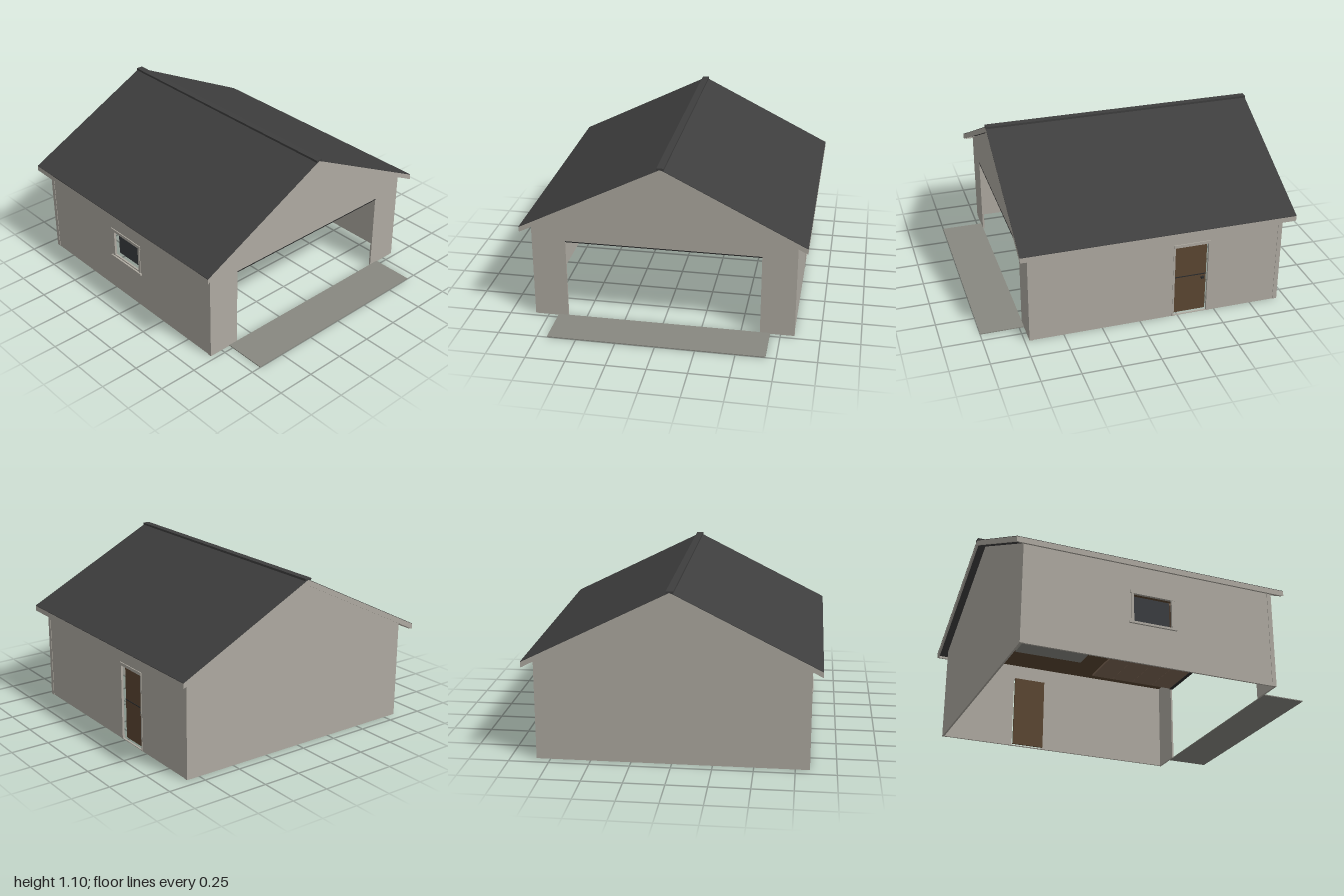
import * as THREE from 'three';

const mat = (name, color) => Object.assign(new THREE.MeshStandardMaterial({ color }), { name });

export function createModel() {
  const garage = new THREE.Group();
  garage.name = 'garage';
  const siding = mat('siding', 0xaeaaa1);
  const roofing = mat('roofing', 0x3e3e3e);
  const concrete = mat('concrete', 0x888880);
  const wood = mat('wood', 0x5b4632);
  const panel = mat('doorPanel', 0x7c6654);
  const glass = mat('glass', 0x3a3d40);
  const metal = mat('metal', 0x2b2b2b);

  const W = 0.835, FRONT = 0.72, BACK = -0.94, EAVE = 0.64, T = 0.012;

  const add = (name, geometry, material) => {
    const mesh = new THREE.Mesh(geometry, material);
    mesh.name = name;
    garage.add(mesh);
    return mesh;
  };
  // Box given by its minimum and maximum corners
  const box = (name, material, x0, x1, y0, y1, z0, z1) => {
    const mesh = add(name, new THREE.BoxGeometry(x1 - x0, y1 - y0, z1 - z0), material);
    mesh.position.set((x0 + x1) / 2, (y0 + y1) / 2, (z0 + z1) / 2);
    return mesh;
  };
  const polygon = (points) => new THREE.Shape(points.map(([x, y]) => new THREE.Vector2(x, y)));
  const extrude = (shape, depth) => new THREE.ExtrudeGeometry(shape, { depth, bevelEnabled: false });

  // Gable walls; the front one has the vehicle opening
  const gable = [[W, 0], [W, EAVE], [0, 1.057], [-W, EAVE], [-W, 0]];
  const opening = [[-0.62, 0], [-0.62, 0.535], [0.62, 0.535], [0.62, 0]];
  add('frontWall', extrude(polygon([...gable, ...opening]), T), siding).position.z = FRONT - T;
  add('backWall', extrude(polygon(gable), T), siding).position.z = BACK;

  // Side walls, each with one rectangular hole (z0, z1, y0, y1)
  const sideWall = (name, x, z0, z1, y0, y1) => {
    const shape = polygon([[BACK + T, 0], [FRONT - T, 0], [FRONT - T, EAVE], [BACK + T, EAVE]]);
    shape.holes.push(polygon([[z0, y0], [z0, y1], [z1, y1], [z1, y0]]));
    const wall = add(name, extrude(shape, T).rotateY(-Math.PI / 2), siding);
    wall.position.x = x;
  };
  sideWall('leftWall', W, -0.445, -0.225, 0.004, 0.5);
  sideWall('rightWall', -W + T, -0.235, 0.015, 0.27, 0.45);

  // Corner boards
  for (const sx of [-1, 1]) {
    for (const z of [FRONT - 0.028, BACK]) {
      const x = sx * W;
      box('cornerBoard', siding, x - 0.003, x + 0.003, 0, EAVE - 0.005, z, z + 0.028);
    }
  }

  // Roof layers: a bent strip following the slope, extruded along z
  const chevron = (name, material, half, drop, thick, z0, z1) => {
    const top = (x) => 1.092 - 0.5 * x - drop;
    const shape = polygon([
      [half, top(half)], [0, top(0)], [-half, top(half)],
      [-half, top(half) - thick], [0, top(0) - thick], [half, top(half) - thick],
    ]);
    add(name, extrude(shape, z1 - z0), material).position.z = z0;
  };
  chevron('roofSheet', roofing, 0.9, 0, 0.003, -1, 0.775);
  chevron('roofDeck', roofing, 0.888, 0.003, 0.026, -0.988, 0.763);
  chevron('frontBargeBoard', siding, 0.9, 0.003, 0.034, 0.763, 0.775);
  chevron('backBargeBoard', siding, 0.9, 0.003, 0.034, -1, -0.988);
  for (const s of [-1, 1]) {
    box('eaveFascia', siding, Math.min(s * 0.888, s * 0.9), Math.max(s * 0.888, s * 0.9),
      0.605, 0.639, -0.988, 0.763);
  }
  box('ridgeCap', roofing, -0.022, 0.022, 1.084, 1.098, -1, 0.775);

  // Ceiling, raised sectional door and its opener
  box('ceiling', wood, -W + T, W - T, 0.61, 0.62, BACK + T, FRONT - T);
  for (let i = 0; i < 4; i++) {
    const z = 0.705 - i * 0.156;
    box('raisedDoorSection', panel, -0.62, 0.62, 0.537, 0.552, z - 0.154, z);
  }
  box('raisedDoorEdge', metal, -0.62, 0.62, 0.531, 0.537, 0.7, 0.722);
  box('openerRail', metal, -0.01, 0.01, 0.575, 0.59, -0.1, 0.7);
  box('openerMotor', metal, -0.06, 0.06, 0.56, 0.61, -0.24, -0.1);

  // Side door with casing and handle
  box('sideDoor', wood, 0.795, 0.807, 0.004, 0.5, -0.445, -0.225);
  box('doorMidRail', metal, 0.807, 0.81, 0.262, 0.268, -0.445, -0.225);
  box('doorHandle', metal, 0.807, 0.822, 0.235, 0.247, -0.43, -0.41);
  box('doorHead', siding, 0.83, 0.841, 0.5, 0.52, -0.457, -0.213);
  for (const z of [-0.457, -0.225]) box('doorCasing', siding, 0.83, 0.838, 0, 0.5, z, z + 0.012);

  // Window with casing and sill
  box('windowPane', glass, -0.8, -0.793, 0.27, 0.45, -0.235, 0.015);
  for (const z of [-0.253, 0.015]) box('windowCasing', siding, -0.839, -0.83, 0.262, 0.45, z, z + 0.018);
  box('windowHead', siding, -0.841, -0.83, 0.45, 0.47, -0.26, 0.04);
  box('windowSill', siding, -0.847, -0.825, 0.25, 0.262, -0.265, 0.045);

  // Cabinet in the rear corner
  box('cabinet', wood, -0.82, -0.7, 0.012, 0.45, -0.92, -0.52);
  box('cabinetBase', concrete, -0.82, -0.7, 0.002, 0.012, -0.92, -0.52);

  // Driveway apron
  box('driveway', concrete, -0.685, 0.685, 0, 0.006, FRONT, 1);

  return garage;
}
